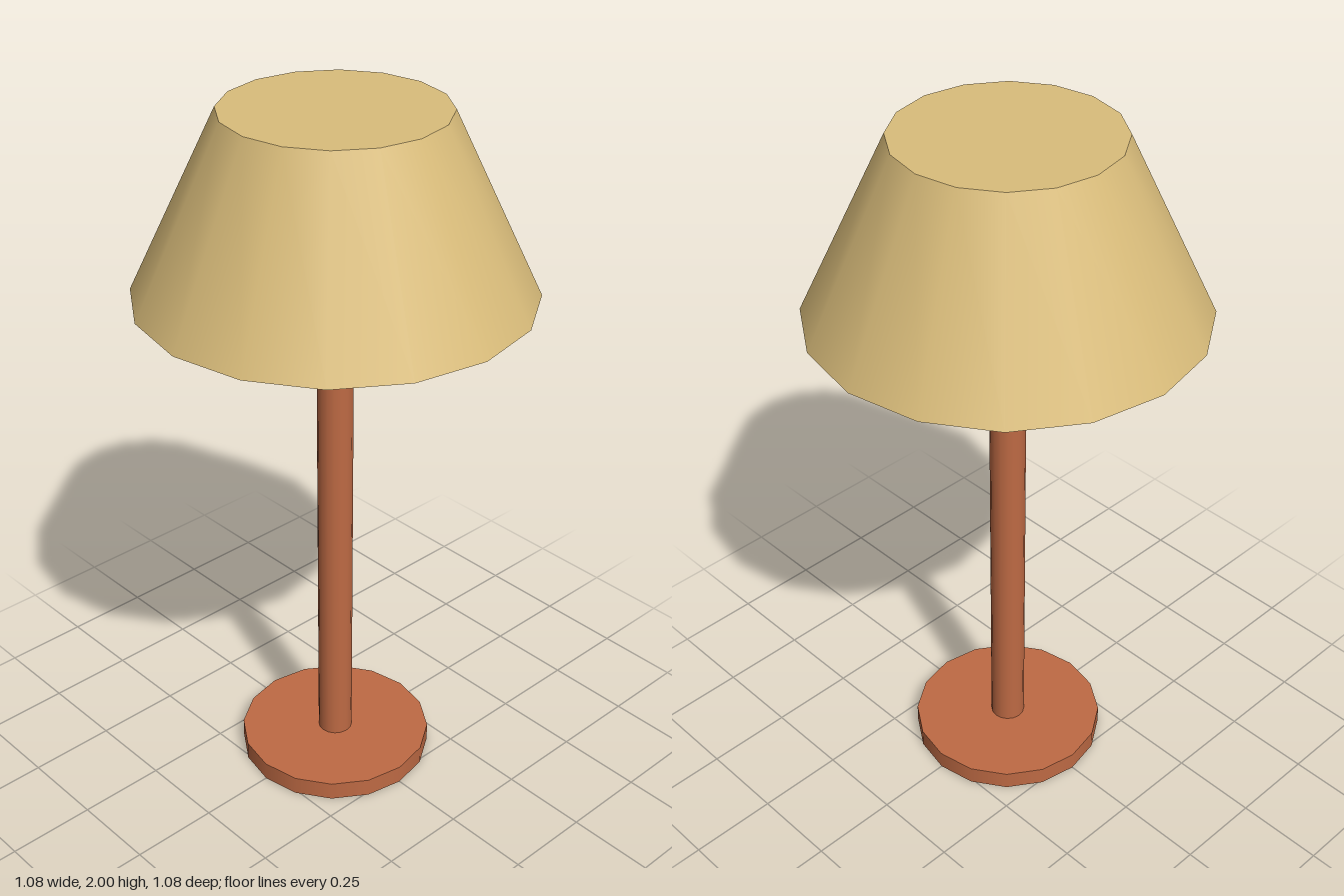
import * as THREE from 'three';
import { mergeGeometries } from 'three/addons/utils/BufferGeometryUtils.js';

const SIDES = 16;

export function createModel() {
  const model = new THREE.Group();
  const fabric = new THREE.MeshStandardMaterial({ color: 0xdabd7b });
  fabric.name = 'shadeFabric';
  const wood = new THREE.MeshStandardMaterial({ color: 0xbe6a44 });
  wood.name = 'redWood';

  const add = (name, geometry, material, parent = model) => {
    const mesh = new THREE.Mesh(geometry, material);
    mesh.name = name;
    parent.add(mesh);
    return mesh;
  };

  // Base disc and pole
  const disc = (radius, bottom, top) =>
    new THREE.CylinderGeometry(radius, radius, top - bottom, SIDES).translate(0, (bottom + top) / 2, 0);
  add('base', disc(0.28, 0, 0.055), wood);
  add('pole', disc(0.05, 0.05, 1.84), wood);

  // Shade: one turned band per profile segment, so the edges stay sharp
  const profile = [
    [0, 1.95], [0.25, 1.95], [0.47, 1.47], [0.54, 1.5], [0.3, 2], [0, 2],
  ].map(([r, y]) => new THREE.Vector2(r, y));
  const bands = profile.slice(1).map((p, i) => new THREE.LatheGeometry([profile[i], p], SIDES));
  add('shade', mergeGeometries(bands), fabric);

  // Four drooping struts that widen away from the pole
  const strut = new THREE.BoxGeometry(0.24, 1, 1).translate(0.15, 0, 0);
  const pos = strut.attributes.position;
  for (let i = 0; i < pos.count; i++) {
    const x = pos.getX(i);
    const t = x / 0.27;
    pos.setXYZ(i, x, 1.8 - 0.47 * x + pos.getY(i) * 0.06 * t, pos.getZ(i) * 0.115 * t);
  }
  strut.computeVertexNormals();
  const struts = new THREE.Group();
  struts.name = 'shadeSupport';
  model.add(struts);
  for (let i = 0; i < 4; i++) {
    add('strut', strut, wood, struts).rotation.y = (i * Math.PI) / 2;
  }

  return model;
}
